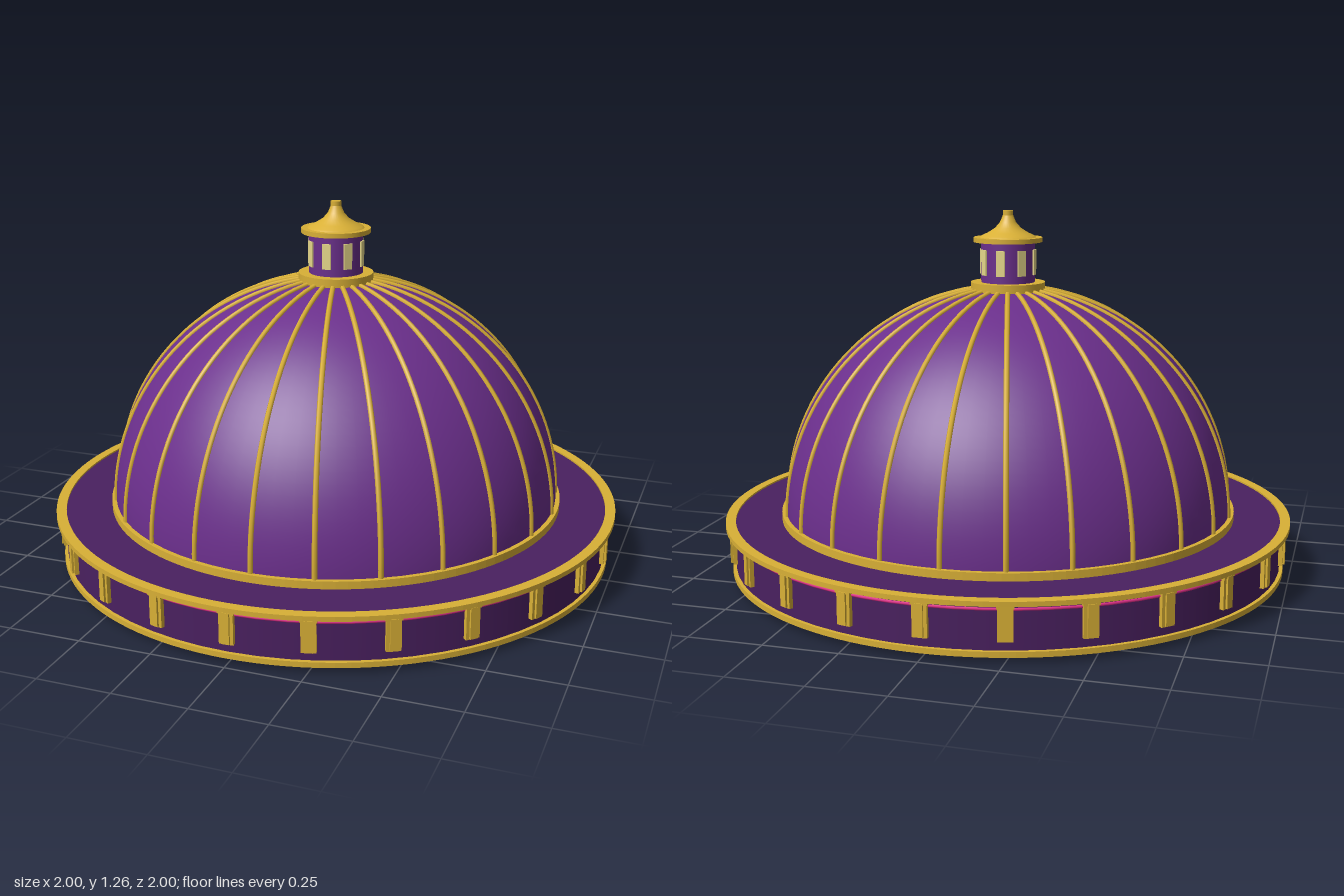
import * as THREE from 'three';

const mat = (color) => new THREE.MeshStandardMaterial({ color });

export function createModel() {
  const model = new THREE.Group();
  const gold = mat(0xd9b036), paleGold = mat(0xe6d88a), purple = mat(0x6b2f8c);
  const deepPurple = mat(0x4a2060), pink = mat(0xe0308a);

  const add = (name, geometry, material, parent = model) => {
    const mesh = new THREE.Mesh(geometry, material);
    mesh.name = name;
    parent.add(mesh);
    return mesh;
  };
  // Solid disc between two heights
  const disc = (name, r, y0, y1, material, sides = 64) => {
    const m = add(name, new THREE.CylinderGeometry(r, r, y1 - y0, sides), material);
    m.position.y = (y0 + y1) / 2;
    return m;
  };
  // Square-edged ring, turned from a rectangular section
  const ring = (name, r0, r1, y0, y1, material, sides = 64) => {
    const s = new THREE.Shape();
    s.absarc(0, 0, r1, 0, Math.PI * 2);
    s.holes.push(new THREE.Path().absarc(0, 0, r0, 0, Math.PI * 2, true));
    const g = new THREE.ExtrudeGeometry(s, { depth: y1 - y0, bevelEnabled: false, curveSegments: sides });
    g.rotateX(-Math.PI / 2).translate(0, y0, 0);
    return add(name, g, material);
  };
  // Repeat a builder around the vertical axis
  const around = (name, count, build, offset = 0) => {
    const group = new THREE.Group();
    group.name = name;
    for (let i = 0; i < count; i++) {
      const arm = new THREE.Group();
      arm.rotation.y = offset + (i / count) * Math.PI * 2;
      build(arm);
      group.add(arm);
    }
    model.add(group);
  };

  // Base drum with gold rims and a thin glowing line
  disc('drum', 0.968, 0.021, 0.194, deepPurple);
  ring('lowerRim', 0.95, 0.98, 0.02, 0.038, gold);
  ring('upperRim', 0.965, 1.0, 0.184, 0.2, gold);
  const line = add('lightLine', new THREE.TorusGeometry(0.968, 0.005, 6, 64), pink);
  line.rotation.x = Math.PI / 2;
  line.position.y = 0.166;

  // Pilasters around the drum
  const shaft = new THREE.BoxGeometry(0.048, 0.115, 0.022);
  const face = new THREE.BoxGeometry(0.026, 0.105, 0.012);
  const capital = new THREE.BoxGeometry(0.054, 0.014, 0.026);
  around('pilasters', 24, (arm) => {
    add('pilasterShaft', shaft, gold, arm).position.set(0, 0.126, 0.97);
    add('pilasterFace', face, gold, arm).position.set(0, 0.124, 0.982);
    add('pilasterCapital', capital, gold, arm).position.set(0, 0.178, 0.972);
  });

  // Dome shell and its foot ring
  const R = 0.79, domeY = 0.207;
  const shell = add('dome', new THREE.SphereGeometry(R, 72, 32, 0, Math.PI * 2, 0, Math.PI / 2), purple);
  shell.position.y = domeY;
  ring('domeFootRing', 0.775, 0.805, 0.19, 0.22, gold);

  // Ribs running up the dome
  const path = [];
  for (let i = 0; i <= 16; i++) {
    const a = (i / 16) * 1.43;
    path.push(new THREE.Vector3(0, domeY + R * Math.sin(a), R * Math.cos(a)));
  }
  const ribGeometry = new THREE.TubeGeometry(new THREE.CatmullRomCurve3(path), 32, 0.009, 6);
  around('ribs', 24, (arm) => add('rib', ribGeometry, gold, arm));

  // Lantern on the crown
  disc('crownRing', 0.13, 0.985, 1.015, gold, 40);
  disc('lanternBody', 0.094, 1.01, 1.158, purple, 32);
  const windowGeometry = new THREE.BoxGeometry(0.03, 0.088, 0.012);
  around('lanternWindows', 8, (arm) => {
    add('lanternWindow', windowGeometry, paleGold, arm).position.set(0, 1.085, 0.092);
  });
  disc('lanternEave', 0.12, 1.154, 1.17, gold, 40);
  const roof = [[0.1, 1.168], [0.092, 1.176], [0.07, 1.186], [0.045, 1.202], [0.028, 1.222], [0.018, 1.246]];
  add('lanternRoof', new THREE.LatheGeometry(roof.map(([x, y]) => new THREE.Vector2(x, y)), 32), gold);
  disc('finial', 0.018, 1.244, 1.262, gold, 16);

  // Underside medallion and studs
  disc('medallion', 0.115, 0.008, 0.022, gold, 8);
  disc('medallionPanel', 0.1, 0.006, 0.012, deepPurple, 8);
  const boss = add('medallionRing', new THREE.TorusGeometry(0.055, 0.006, 6, 24), gold);
  boss.rotation.x = Math.PI / 2;
  boss.position.y = 0.007;
  disc('medallionBoss', 0.03, 0, 0.012, gold, 16);
  const stud = new THREE.CylinderGeometry(0.015, 0.015, 0.008, 10);
  around('undersideStuds', 8, (arm) => {
    add('stud', stud, gold, arm).position.set(0, 0.019, 0.25);
  }, Math.PI / 8);

  return model;
}
